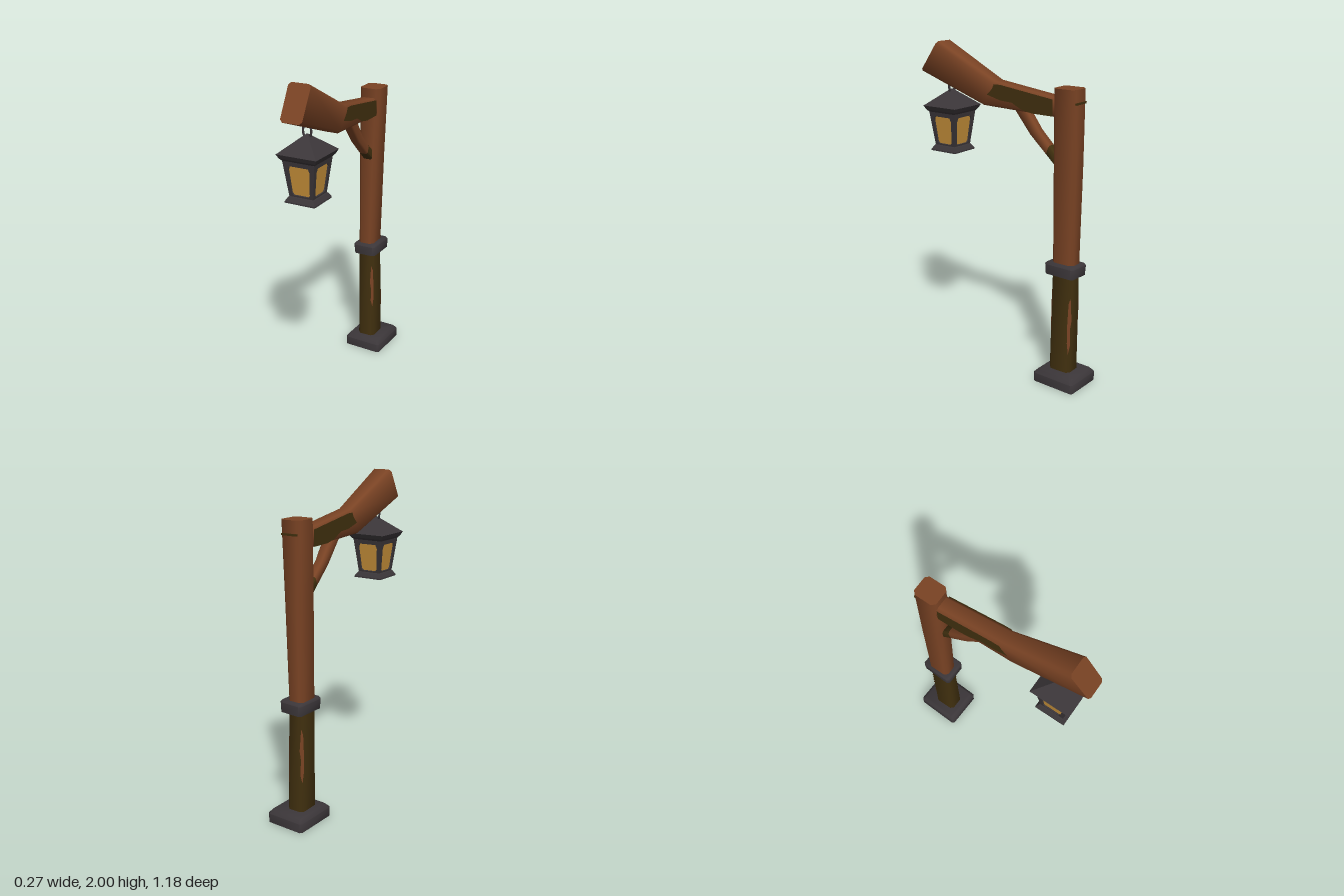
import * as THREE from 'three';
import { toCreasedNormals } from 'three/addons/utils/BufferGeometryUtils.js';

const material = (name, color, side = THREE.FrontSide) => {
  const m = new THREE.MeshStandardMaterial({ color, side });
  m.name = name;
  return m;
};

// Cut each corner of a ring of Vector3 by a fixed distance
function chamfer(ring, c) {
  if (!c) return ring;
  return ring.flatMap((p, i) => {
    const prev = ring[(i + 3) % 4], next = ring[(i + 1) % 4];
    const toward = q => p.clone().add(q.clone().sub(p).setLength(c));
    return [toward(prev), toward(next)];
  });
}

// Skin four-cornered rings into a closed solid
function loft(rings, c = 0, crease = 0.9) {
  const cut = rings.map(r => chamfer(r, c));
  const n = cut[0].length, last = (cut.length - 1) * n, index = [];
  for (let s = 0; s < cut.length - 1; s++) {
    for (let i = 0; i < n; i++) {
      const a = s * n + i, b = s * n + (i + 1) % n;
      index.push(a, b, b + n, a, b + n, a + n);
    }
  }
  for (let i = 1; i < n - 1; i++) {
    index.push(0, i + 1, i, last, last + i, last + i + 1);
  }
  const g = new THREE.BufferGeometry().setFromPoints(cut.flat());
  g.setIndex(index);
  return toCreasedNormals(g, crease);
}

const V = (x, y, z) => new THREE.Vector3(x, y, z);
// Horizontal ring for upright parts
const level = ([y, x0, x1, z0, z1]) => [V(x0, y, z1), V(x1, y, z1), V(x1, y, z0), V(x0, y, z0)];
// Square horizontal ring
const square = ([y, h]) => level([y, -h, h, -h, h]);
// Cross ring for parts running forward: bottom (z, y), top (z, y), bottom x range, top x range
const across = ([zb, yb, zt, yt, x0, x1, u0 = x0, u1 = x1]) =>
  [V(x0, yb, zb), V(x1, yb, zb), V(u1, yt, zt), V(u0, yt, zt)];

// Flat painted patch from an outline
function patch(points) {
  const g = new THREE.BufferGeometry().setFromPoints(points);
  const index = [];
  for (const [a, b, c] of THREE.ShapeUtils.triangulateShape(
    points.map(p => new THREE.Vector2(p.z, p.y)), [])) index.push(a, b, c);
  g.setIndex(index);
  g.computeVertexNormals();
  return g;
}

export function createModel() {
  const wood = material('brown wood', 0x7a4324);
  const moss = material('dark mossy wood', 0x41300f);
  const woodPaint = material('worn wood', 0x7a4324, THREE.DoubleSide);
  const mossPaint = material('moss patch', 0x41300f, THREE.DoubleSide);
  const iron = material('dark iron', 0x3b3639);
  const glass = material('amber glass', 0xc8913a);

  const root = new THREE.Group();
  root.name = 'lampPost';
  const add = (name, geometry, mat, parent = root) => {
    const m = new THREE.Mesh(geometry, mat);
    m.name = name;
    parent.add(m);
    return m;
  };

  // Stone foot
  const foot = add('foot', loft([
    [0, -0.126, 0.126, -0.143, 0.143], [0.055, -0.126, 0.126, -0.143, 0.143],
    [0.078, -0.108, 0.108, -0.122, 0.122],
  ].map(level), 0.012), iron);
  foot.position.set(-0.004, 0, -0.441);
  foot.rotation.y = -0.04;

  // Post, mossy below the collar
  const low = [0.05, -0.07, 0.045, -0.5, -0.355];
  const mid = [0.72, -0.073, 0.028, -0.497, -0.355];
  add('lowerPost', loft([low, mid].map(level), 0.02), moss);
  add('upperPost', loft([mid, [1.35, -0.075, 0.04, -0.505, -0.355],
    [1.79, -0.077, 0.055, -0.505, -0.36]].map(level), 0.02), wood);

  // Worn streaks down the post corners
  const corners = [[1, 1, 0.3, 0.6], [1, 0, 0.2, 0.56], [0, 0, 0.26, 0.6]];
  for (const [right, front, y0, y1] of corners) {
    const at = (t, across) => {
      const y = y0 + (y1 - y0) * t, k = (y - low[0]) / (mid[0] - low[0]);
      const side = i => THREE.MathUtils.lerp(low[i], mid[i], k);
      const sx = right ? 1 : -1, sz = front ? 1 : -1;
      return V(side(right ? 2 : 1) - sx * (0.02 * across - 0.002), y,
        side(front ? 4 : 3) - sz * (0.02 * (1 - across) - 0.002));
    };
    add('wornStreak', patch([at(0, 0.4), at(0.15, 0.8), at(0.45, 0.7), at(0.6, 0.95),
      at(1, 0.6), at(0.9, 0.2), at(0.5, 0.05), at(0.2, 0.1)]), woodPaint);
  }

  // Iron collar around the post
  const collar = add('collar', loft([
    [-0.035, -0.074, 0.074, -0.099, 0.099], [0.025, -0.077, 0.077, -0.102, 0.102],
    [0.035, -0.07, 0.07, -0.094, 0.094],
  ].map(level), 0.014), iron);
  collar.position.set(-0.014, 0.726, -0.427);
  collar.rotation.set(0, -0.04, 0.03);

  // Crooked beam rising toward the front
  add('beam', loft([
    [-0.49, 1.615, -0.49, 1.715, -0.064, 0.04],
    [-0.36, 1.625, -0.36, 1.733, -0.062, 0.04],
    [0.13, 1.643, 0.05, 1.79, -0.052, 0.055],
    [0.59, 1.81, 0.465, 1.995, -0.052, 0.08, -0.066, 0.07],
  ].map(across), 0.016), wood);
  const tail = add('beamTail', new THREE.BoxGeometry(0.1, 0.012, 0.03), moss);
  tail.position.set(-0.012, 1.712, -0.496);

  // Moss on both beam sides
  const outline = [[-0.355, 1.63], [-0.22, 1.632], [-0.15, 1.645], [-0.08, 1.68],
    [0, 1.685], [0.095, 1.71], [0.06, 1.745], [0.045, 1.775], [0, 1.775], [-0.355, 1.725]];
  for (const [back, front, out] of [[0.04, 0.055, 0.004], [-0.062, -0.052, -0.004]]) {
    add('beamMoss', patch(outline.map(([z, y]) =>
      V(THREE.MathUtils.lerp(back, front, (z + 0.36) / 0.45) + out, y, z))), mossPaint);
  }

  // Curved brace under the beam
  const joint = [-0.295, 1.395, -0.315, 1.452, -0.046, 0.016];
  add('braceRoot', loft([[-0.38, 1.32, -0.38, 1.395, -0.048, 0.02], joint].map(across), 0.01), moss);
  add('brace', loft([joint, [-0.18, 1.5, -0.237, 1.53, -0.045, 0.016],
    [-0.06, 1.65, -0.145, 1.655, -0.045, 0.02]].map(across), 0.01), wood);

  // Hanging lantern
  const lantern = new THREE.Group();
  lantern.name = 'lantern';
  lantern.position.set(0.005, 0, 0.408);
  root.add(lantern);
  add('lanternRoof', loft([[1.57, 0.098], [1.585, 0.112], [1.61, 0.125], [1.615, 0.118],
    [1.71, 0.004]].map(square), 0, 0.2), iron, lantern);
  add('lanternBase', loft([[1.33, 0.095], [1.338, 0.095], [1.362, 0.08], [1.372, 0.07]]
    .map(square), 0, 0.2), iron, lantern);
  add('lanternGlass', loft([[1.365, 0.066], [1.572, 0.09]].map(square), 0, 0.2), glass, lantern);

  // Frame with a rounded window, repeated on four sides
  const frame = new THREE.Shape([[-0.075, 0], [0.075, 0], [0.1, 0.21], [-0.1, 0.21]]
    .map(p => new THREE.Vector2(...p)));
  frame.holes.push(new THREE.Path([[-0.045, 0.012], [-0.056, 0.026], [-0.067, 0.16],
    [-0.058, 0.184], [0.058, 0.184], [0.067, 0.16], [0.056, 0.026], [0.045, 0.012]]
    .map(p => new THREE.Vector2(...p))));
  const frameGeometry = new THREE.ExtrudeGeometry(frame, { depth: 0.012, bevelEnabled: false });
  frameGeometry.rotateX(0.12).translate(0, 1.365, 0.063);
  for (let i = 0; i < 4; i++) {
    add('lanternFrame', frameGeometry, iron, lantern).rotation.y = i * Math.PI / 2;
  }

  // Hanging ring into the beam
  const ring = add('hangingRing', new THREE.TorusGeometry(0.026, 0.007, 6, 14), iron, lantern);
  ring.position.y = 1.725;
  ring.scale.y = 1.5;

  return root;
}
